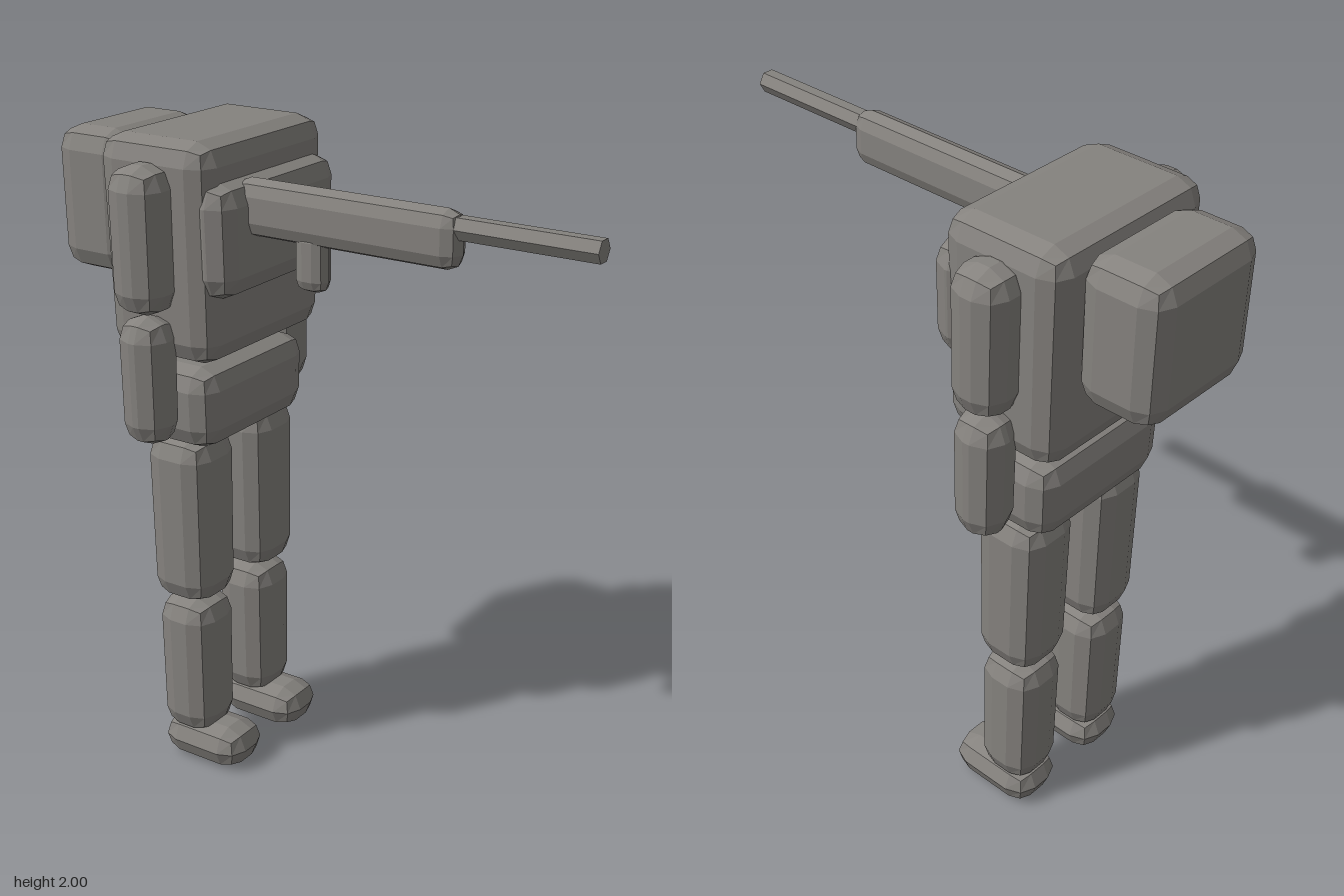
import * as THREE from 'three';
import { RoundedBoxGeometry } from 'three/addons/geometries/RoundedBoxGeometry.js';

const BEVEL = 0.066;

// Bevelled block given by its min/max extents, narrowing slightly towards the bottom
function block(x0, x1, y0, y1, z0, z1, taper = 0) {
  const h = y1 - y0;
  const geo = new RoundedBoxGeometry(x1 - x0, h, z1 - z0, 1, BEVEL);
  const p = geo.attributes.position;
  for (let i = 0; i < p.count; i++) {
    const k = 1 - taper * (0.5 - p.getY(i) / h);
    p.setX(i, p.getX(i) * k);
    p.setZ(i, p.getZ(i) * k);
  }
  geo.computeVertexNormals(); // unshared corners give flat facets
  geo.translate((x0 + x1) / 2, (y0 + y1) / 2, (z0 + z1) / 2);
  return geo;
}

export function createModel() {
  const model = new THREE.Group();
  model.name = 'armouredGunner';
  const grey = new THREE.MeshStandardMaterial({ color: 0x85827e });
  grey.name = 'warm grey';

  const add = (name, geo, parent = model) => {
    const mesh = new THREE.Mesh(geo, grey);
    mesh.name = name;
    parent.add(mesh);
    return mesh;
  };

  // Body, facing +x
  add('torso', block(-0.625, -0.24, 1.36, 2.0, -0.302, 0.302, 0.05));
  add('chestPlate', block(-0.325, -0.185, 1.56, 1.893, -0.288, 0.288, 0.03));
  add('backpack', block(-0.86, -0.605, 1.555, 1.98, -0.213, 0.213, 0.02));
  add('pelvis', block(-0.58, -0.285, 1.083, 1.333, -0.26, 0.26, 0.03));

  // Arms and legs, mirrored across z
  for (const [side, s] of [['near', 1], ['far', -1]]) {
    const limb = (name, x0, x1, y0, y1, zc, w, taper) =>
      add(side + name, block(x0, x1, y0, y1, s * zc - w / 2, s * zc + w / 2, taper));
    limb('UpperArm', -0.519, -0.35, 1.515, 1.94, 0.324, 0.17, 0.05);
    limb('Forearm', -0.511, -0.357, 1.125, 1.51, 0.328, 0.15, 0.05);
    limb('Thigh', -0.54, -0.325, 0.565, 1.105, 0.153, 0.212, 0.05);
    limb('Shin', -0.53, -0.338, 0.1, 0.563, 0.152, 0.194, 0.04);
    limb('Foot', -0.53, -0.235, 0, 0.132, 0.152, 0.19, 0);
  }

  // Gun pointing forward from the chest
  const gun = new THREE.Group();
  gun.name = 'gun';
  model.add(gun);
  add('gunBody', block(-0.25, 0.467, 1.73, 1.895, 0.08, 0.172), gun);
  add('gunGrip', block(-0.052, 0.05, 1.6, 1.78, 0.092, 0.162), gun);

  // Six-sided barrel with corners along z
  const barrelGeo = new THREE.CylinderGeometry(0.034, 0.034, 0.42, 6).toNonIndexed();
  barrelGeo.computeVertexNormals();
  const barrel = add('gunBarrel', barrelGeo, gun);
  barrel.rotation.z = -Math.PI / 2;
  barrel.position.set(0.65, 1.847, 0.125);

  return model;
}
